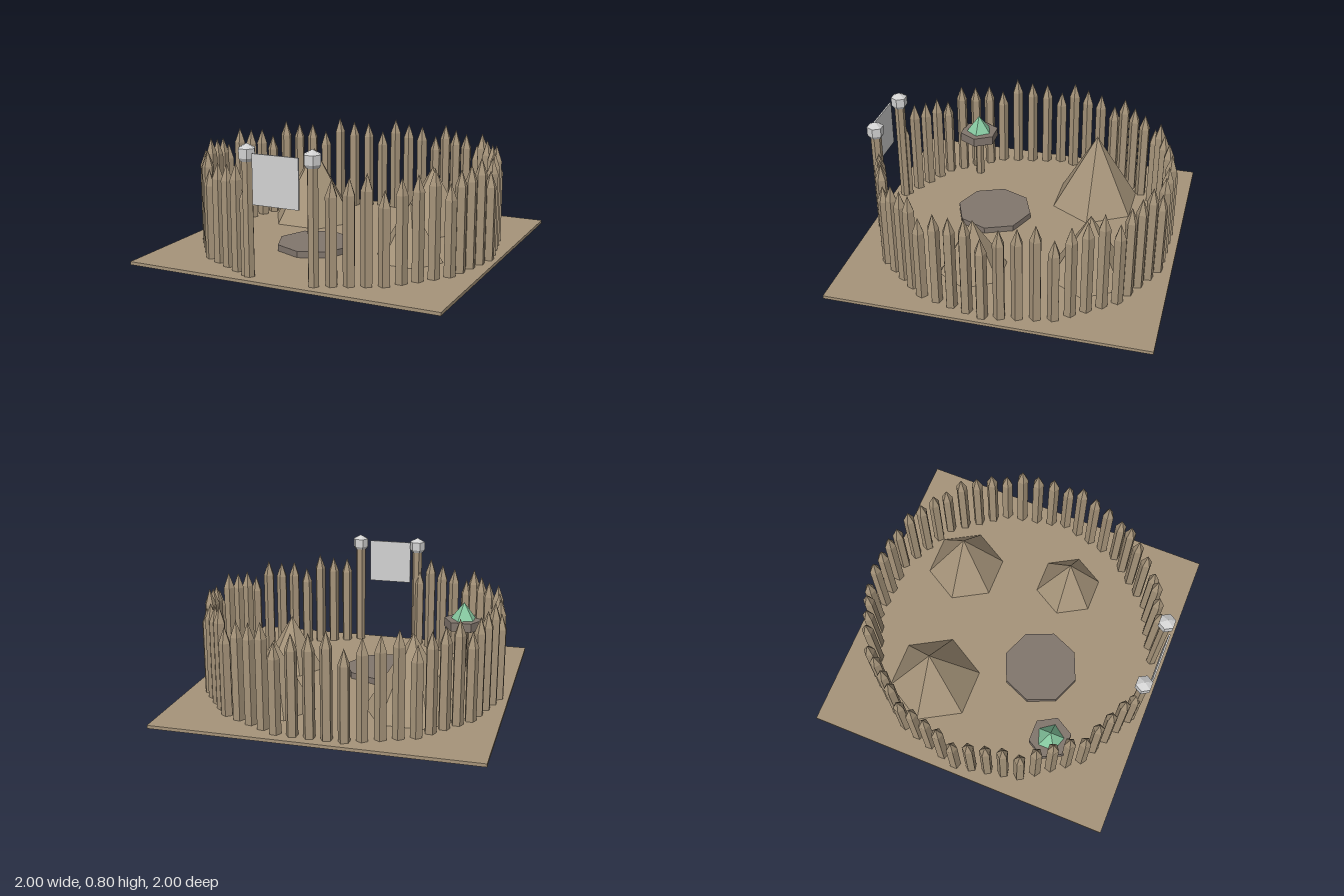
import * as THREE from 'three';

const mat = (name, color) => {
  const m = new THREE.MeshStandardMaterial({ color, flatShading: true });
  m.name = name;
  return m;
};

export function createModel() {
  const model = new THREE.Group();
  model.name = 'palisadeCamp';
  const wood = mat('wood brown', 0xa6947a);
  const stone = mat('stone grey', 0x81766d);
  const pale = mat('pale grey', 0xd2d2d2);
  const green = mat('crystal green', 0x86c8a0);

  const add = (parent, name, geometry, material, x, y, z) => {
    const mesh = new THREE.Mesh(geometry, material);
    mesh.name = name;
    mesh.position.set(x, y, z);
    parent.add(mesh);
    return mesh;
  };
  // faceted solid of revolution from [radius, height] pairs, bottom to top
  const lathe = (points, sides, phase = 0) =>
    new THREE.LatheGeometry(points.map(p => new THREE.Vector2(...p)), sides, phase);

  // ground slab
  add(model, 'ground', new THREE.BoxGeometry(2, 0.02, 2), wood, 0, 0.01, 0);

  // palisade: four pointed stakes along each side of a ring, open at the gate
  const palisade = new THREE.Group();
  palisade.name = 'palisade';
  model.add(palisade);
  const corners = [
    [-0.23, 0.905], [-0.6, 0.715], [-0.85, 0.385], [-0.935, -0.03], [-0.82, -0.43],
    [-0.56, -0.75], [-0.18, -0.92], [0.235, -0.91], [0.605, -0.72], [0.855, -0.39],
    [0.94, 0.02], [0.835, 0.425], [0.567, 0.745], [0.21, 0.91],
  ];
  const stakes = [0.575, 0.67, 0.645, 0.635].map(h =>
    lathe([[0, 0.01], [0.037, 0.01], [0.037, h - 0.1], [0, h]], 5));
  for (let s = 0; s < corners.length - 1; s++) {
    const [x0, z0] = corners[s], [x1, z1] = corners[s + 1];
    for (let i = 0; i < 4; i++) {
      const t = i / 4;
      const stake = add(palisade, 'stake', stakes[i], wood, x0 + (x1 - x0) * t, 0, z0 + (z1 - z0) * t);
      stake.rotation.y = Math.atan2(x1 - x0, z1 - z0);
    }
  }

  // gate posts with pale caps
  const cap = lathe([[0, 0.7], [0.04, 0.7], [0.053, 0.72], [0.053, 0.775], [0, 0.803]], 6, Math.PI / 6);
  for (const side of [-1, 1]) {
    const gate = new THREE.Group();
    gate.name = side > 0 ? 'leftGatePost' : 'rightGatePost';
    gate.position.set(side * 0.209, 0, 0.917);
    model.add(gate);
    const post = new THREE.CylinderGeometry(0.034, 0.034, 0.7, 6);
    add(gate, 'post', post, wood, 0, 0.355, 0).rotation.y = Math.PI / 6;
    add(gate, 'cap', cap, pale, 0, 0, 0);
  }

  // sign board over the gate
  add(model, 'gateBoard', new THREE.BoxGeometry(0.295, 0.295, 0.01), pale, -0.003, 0.608, 0.957);

  // hexagonal tents: x, z, radius, top
  for (const [x, z, r, top] of [
    [-0.46, -0.38, 0.3, 0.52], [0.374, -0.505, 0.257, 0.445], [0.5, 0.205, 0.217, 0.375],
  ]) {
    add(model, 'tent', lathe([[r, 0.02], [0, top]], 6, Math.PI / 6), wood, x, 0, z);
  }

  // octagonal stone platform
  add(model, 'platform', new THREE.CylinderGeometry(0.249, 0.249, 0.058, 8), stone, -0.126, 0.031, 0.247);

  // shrine: slender stem, stone slab and crystal
  const shrine = new THREE.Group();
  shrine.name = 'shrine';
  shrine.position.set(-0.622, 0, 0.497);
  model.add(shrine);
  add(shrine, 'stem', new THREE.CylinderGeometry(0.03, 0.03, 0.29, 6), wood, 0, 0.155, 0);
  add(shrine, 'slab', lathe([[0, 0.3], [0.133, 0.3], [0.133, 0.36], [0, 0.36]], 6, Math.PI / 6), stone, 0, 0, 0);
  add(shrine, 'crystal', lathe([[0.087, 0.36], [0, 0.475]], 5, Math.PI / 2), green, 0, 0, 0);

  return model;
}
